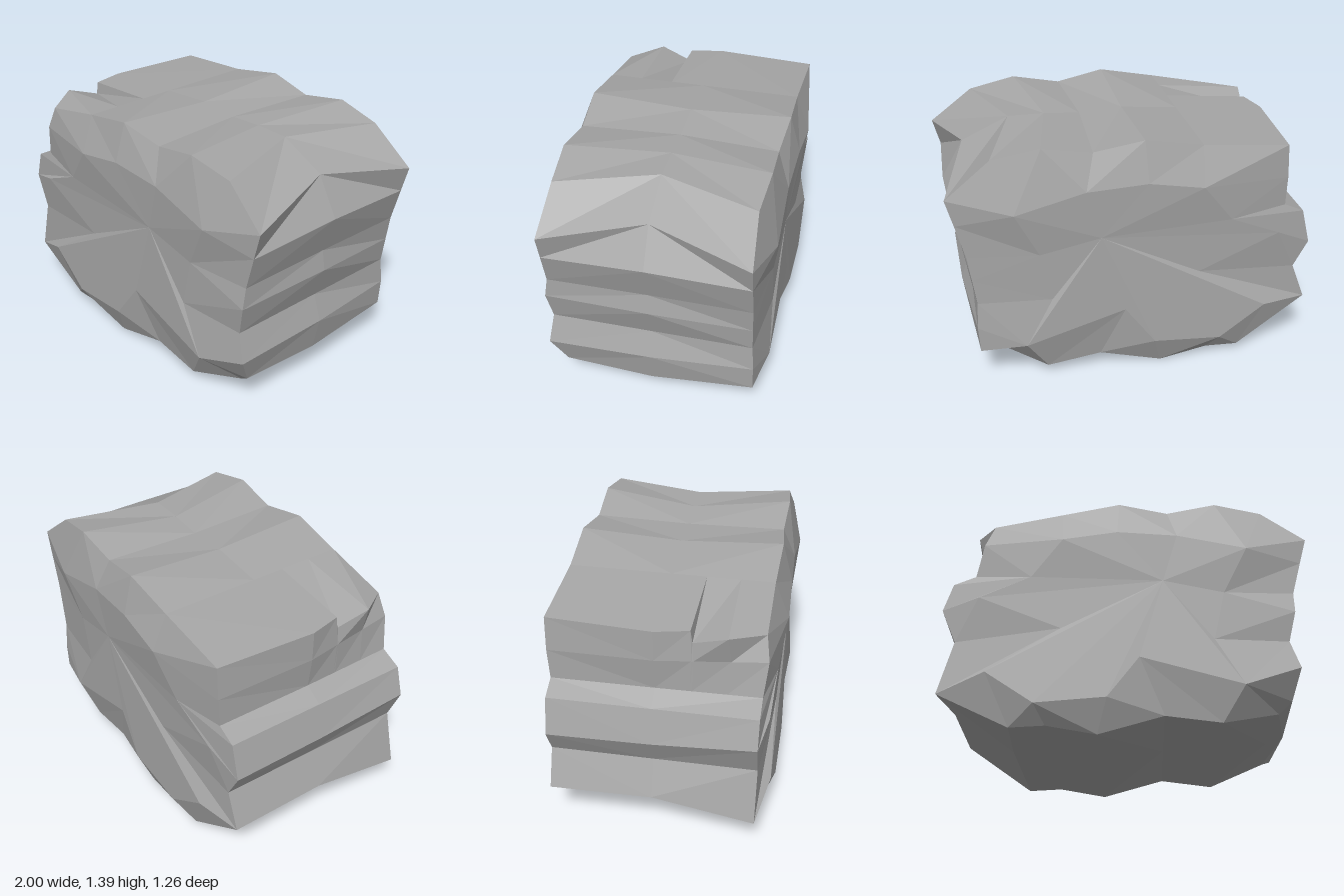
import * as THREE from 'three';

// Cross-sections of the boulder, counter-clockwise from the lower right: [x, y, optional z]
const FRONT = [
  [0.5, 0.06], [0.8, 0.14, 0.46], [0.87, 0.2, 0.49], [0.92, 0.36, 0.57], [0.87, 0.52], [0.91, 0.69, 0.57],
  [0.91, 0.81], [0.96, 1.0], [1.0, 1.15], [0.76, 1.34, 0.53], [0.5, 1.39], [0.23, 1.34, 0.54],
  [-0.04, 1.39, 0.56], [-0.36, 1.33], [-0.74, 1.25, 0.55], [-0.79, 1.12, 0.57], [-0.83, 0.93], [-0.95, 0.88],
  [-1.0, 0.72], [-0.92, 0.53], [-1.0, 0.23], [-0.61, 0.04], [-0.42, 0.05], [-0.15, 0], [0.2, 0.1],
].map(([x, y, z = 0.55]) => [x, y, z]);

const MIDDLE = [
  [0.5, 0.1], [0.78, 0.14], [0.88, 0.18], [0.92, 0.37], [0.87, 0.52], [0.93, 0.7],
  [0.91, 0.815], [0.98, 1.03], [0.86, 1.24], [0.6, 1.36], [0.4, 1.36], [0.2, 1.345],
  [-0.04, 1.36], [-0.36, 1.33], [-0.87, 1.29], [-0.87, 1.12], [-0.85, 0.94], [-0.95, 0.88],
  [-1.0, 0.69], [-0.92, 0.53], [-1.0, 0.33], [-0.65, 0.1], [-0.42, 0.08], [-0.15, 0.04], [0.2, 0.1],
].map(([x, y]) => [x, y, 0]);

// The back section repeats the front one with a few shifted points
const BACK_CHANGES = {
  1: [0.8, 0.14, -0.36], 2: [0.87, 0.22, -0.56], 3: [0.88, 0.37, -0.56], 5: [0.89, 0.665, -0.55],
  14: [-0.83, 1.29, -0.56], 15: [-0.84, 1.1, -0.56], 16: [-0.84, 0.93, -0.55],
  18: [-1, 0.68, -0.55], 20: [-1, 0.32, -0.55],
};
const BACK = FRONT.map(([x, y, z], i) => BACK_CHANGES[i] ?? [x, y, -z]);

// Inner loop of the bulging faces, and the loop point each outline point joins
const INNER = [
  [0.62, 0.25, 0.61], [0.47, 0.52, 0.59], [0.53, 0.8, 0.59], [0.66, 1.06, 0.62], [0.28, 1.15, 0.61],
  [-0.05, 1.17, 0.62], [-0.35, 1.12, 0.63], [-0.52, 0.9, 0.6], [-0.8, 0.78, 0.59], [-0.35, 0.59, 0.59],
  [-0.74, 0.33, 0.61], [-0.48, 0.15, 0.62], [-0.1, 0.18, 0.62], [0.07, 0.41, 0.61],
];
const JOIN = [0, 0, 0, 0, 1, 2, 2, 3, 3, 3, 4, 4, 5, 6, 6, 7, 7, 7, 8, 9, 10, 11, 11, 12, 13];
const HUB = [0.2, 0.87, 0.6];

const N = FRONT.length;
const lerp = (a, b, t) => a.map((v, k) => v + (b[k] - v) * t);

// Separate triangles give every facet its own normal
function facetMesh(name, triangles, material) {
  const geometry = new THREE.BufferGeometry();
  geometry.setAttribute('position', new THREE.Float32BufferAttribute(triangles.flat(2), 3));
  geometry.computeVertexNormals();
  const mesh = new THREE.Mesh(geometry, material);
  mesh.name = name;
  return mesh;
}

// Strip between two sections, from point i to point i + 1
function strip(out, near, far, i) {
  const j = (i + 1) % N;
  out.push([near[i], far[i], far[j]], [near[i], far[j], near[j]]);
}

// Bulging face closing one end
function cap(outline, side) {
  const flip = ([x, y, z]) => [x, y, z * side];
  const inner = INNER.map(flip);
  const hub = flip(HUB);
  const out = [];
  for (let i = 0; i < N; i++) {
    const j = (i + 1) % N;
    const a = inner[JOIN[i]], b = inner[JOIN[j]];
    out.push([outline[i], outline[j], a]);
    if (a !== b) out.push([outline[j], b, a]);
  }
  inner.forEach((p, k) => out.push([p, inner[(k + 1) % inner.length], hub]));
  return side > 0 ? out : out.map(([a, b, c]) => [a, c, b]);
}

export function createModel() {
  const stone = new THREE.MeshStandardMaterial({ color: 0xa6a6a6, flatShading: true });
  stone.name = 'grey stone';
  const rock = new THREE.Group();
  rock.name = 'boulder';

  // Extra sections around the crack at the upper corner: [z, rim point]
  const crack = [[0.37, [-0.86, 1.28]], [0.19, [-0.83, 1.22]], [0.18, [-0.83, 1.29]]].map(([z, rim]) => {
    const section = FRONT.map((p, i) => lerp(MIDDLE[i], p, z / 0.55));
    section[14] = [...rim, z];
    return section;
  });
  const fine = [FRONT, ...crack, MIDDLE];

  // Ledges, top and underside
  const sides = [], corner = [];
  for (let i = 0; i < N; i++) {
    if (i >= 13 && i <= 15) {
      for (let k = 0; k < fine.length - 1; k++) strip(corner, fine[k], fine[k + 1], i);
    } else strip(sides, FRONT, MIDDLE, i);
    // Mirror the diagonal on the rear half
    const j = (i + 1) % N;
    sides.push([MIDDLE[i], BACK[i], MIDDLE[j]], [BACK[i], BACK[j], MIDDLE[j]]);
  }

  rock.add(
    facetMesh('layeredSides', sides, stone),
    facetMesh('crackedCorner', corner, stone),
    facetMesh('frontFace', cap(FRONT, 1), stone),
    facetMesh('backFace', cap(BACK, -1), stone),
  );
  return rock;
}
